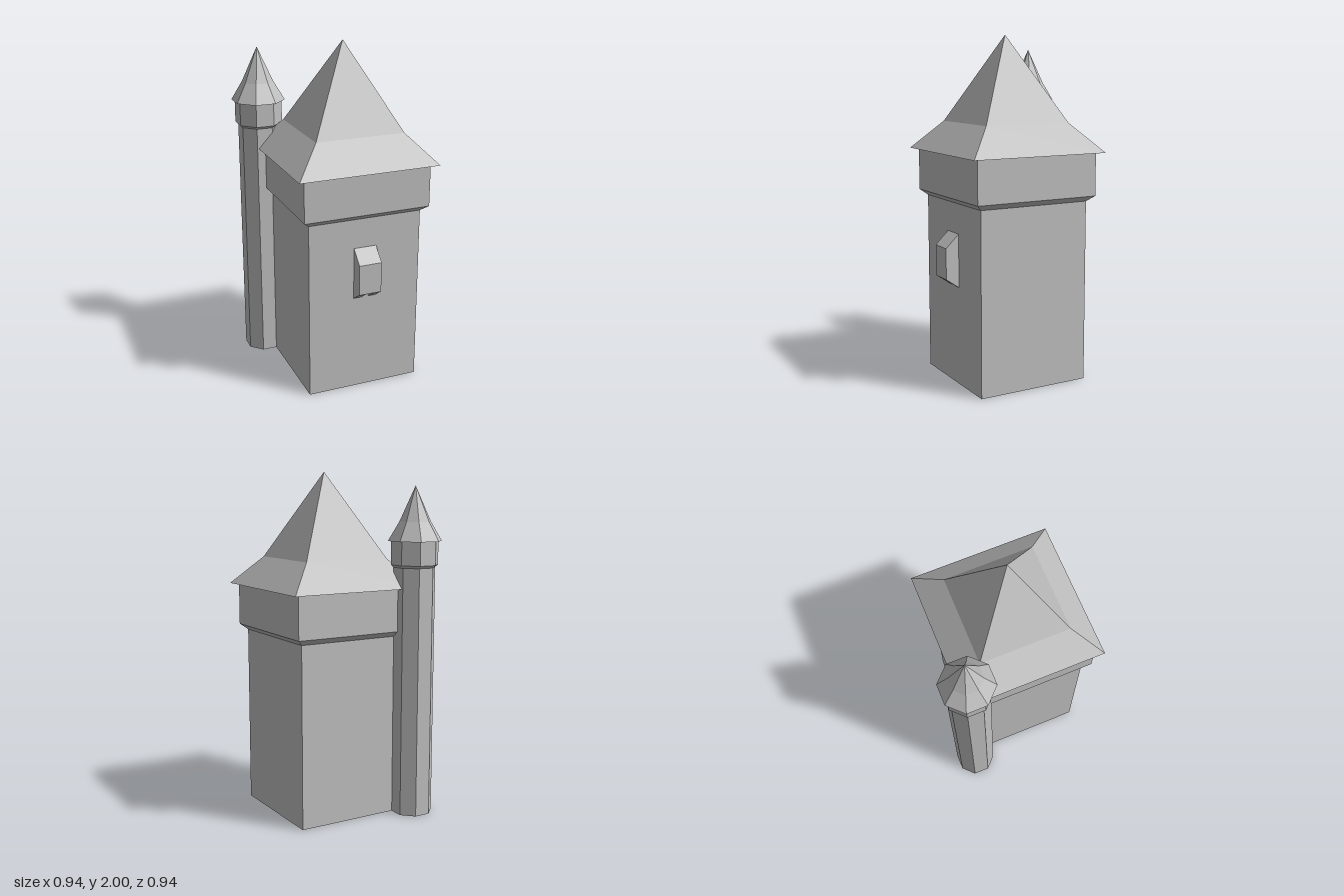
import * as THREE from 'three';

const DEG = Math.PI / 180;

export function createModel() {
  const stone = new THREE.MeshStandardMaterial({
    color: 0xc0c0c0, flatShading: true, side: THREE.DoubleSide,
  });
  stone.name = 'grey stone';

  const mesh = (name, geometry, parent) => {
    const m = new THREE.Mesh(geometry, stone);
    m.name = name;
    parent.add(m);
    return m;
  };

  // Regular prism-like shell: profile is [half width across flats, height] from bottom to top
  const shell = (name, sides, profile, parent) => {
    const k = 1 / Math.cos(Math.PI / sides);
    const points = profile.map(([half, y]) => new THREE.Vector2(half * k, y));
    const g = new THREE.LatheGeometry(points, sides, Math.PI / sides).toNonIndexed();
    g.computeVertexNormals();
    return mesh(name, g, parent);
  };

  // Side profile of [z, y] points, extruded along x between x0 and x1
  const slab = (name, profile, x0, x1, parent) => {
    const shape = new THREE.Shape(profile.map(([z, y]) => new THREE.Vector2(z, y)));
    const g = new THREE.ExtrudeGeometry(shape, { depth: x1 - x0, bevelEnabled: false });
    g.rotateY(-90 * DEG).translate(x1, 0, 0);
    return mesh(name, g, parent);
  };

  const model = new THREE.Group();
  model.name = 'tower';

  // Square keep, open underneath, with a corbelled upper storey
  const keep = new THREE.Group();
  keep.name = 'keep';
  keep.position.set(0.053, 0, 0.053);
  model.add(keep);
  shell('keepWalls', 4, [[0.34, 0], [0.34, 1.06]], keep);
  shell('upperStorey', 4, [[0.34, 1.06], [0.378, 1.092], [0.378, 1.34]], keep);
  shell('keepRoof', 4, [[0.378, 1.34], [0.418, 1.34], [0.265, 1.505], [0, 2]], keep);

  // Small projecting bay on the front wall, carried by two brackets
  const bay = new THREE.Group();
  bay.name = 'bay';
  keep.add(bay);
  const wall = 0.339, face = 0.419, half = 0.068, bracket = 0.046;
  slab('bayBox', [[wall, 0.63], [face, 0.63], [face, 0.81], [wall, 0.887]], -half, half, bay);
  for (const x0 of [-half, half - bracket]) {
    slab('bayBracket', [[wall, 0.575], [face, 0.63], [wall, 0.63]], x0, x0 + bracket, bay);
  }

  // Octagonal stair turret on the back right corner
  const turret = new THREE.Group();
  turret.name = 'stairTurret';
  turret.position.set(-0.327, 0, -0.327);
  model.add(turret);
  shell('turretShaft', 8, [[0.113, 0], [0.113, 1.46]], turret);
  shell('turretHead', 8, [[0.113, 1.46], [0.128, 1.475], [0.128, 1.61]], turret);
  shell('turretRoof', 8, [[0.128, 1.61], [0.146, 1.61], [0.085, 1.72], [0, 1.922]], turret);

  return model;
}
